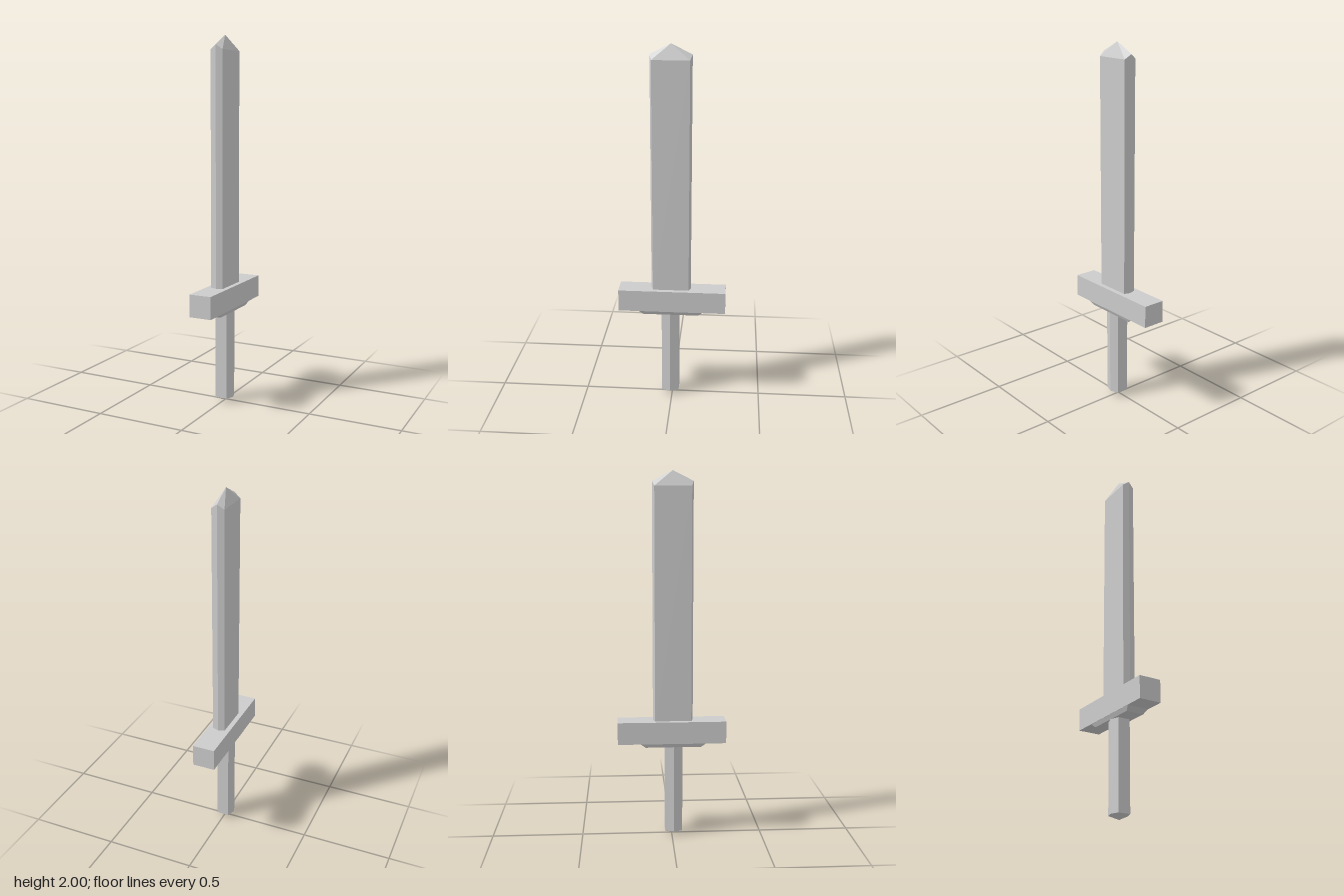
import * as THREE from 'three';

const material = new THREE.MeshStandardMaterial({ color: 0xcccccc, flatShading: true });

// Skin a stack of rings (points [x, y, z], same count, bottom to top,
// each running from +z towards +x); a one-point ring closes to a tip.
function loft(name, rings) {
  const n = Math.max(...rings.map((r) => r.length));
  const pos = [];
  const tri = (a, b, c) => pos.push(...a, ...b, ...c);
  for (let k = 0; k < rings.length - 1; k++) {
    const lo = rings[k], hi = rings[k + 1];
    for (let i = 0; i < n; i++) {
      const j = (i + 1) % n;
      if (lo.length > 1) tri(lo[i], lo[j], hi[j % hi.length]);
      if (hi.length > 1) tri(lo[i % lo.length], hi[j], hi[i]);
    }
  }
  // flat end caps
  const first = rings[0], last = rings[rings.length - 1];
  for (let i = 1; i < first.length - 1; i++) tri(first[0], first[i + 1], first[i]);
  for (let i = 1; i < last.length - 1; i++) tri(last[0], last[i], last[i + 1]);
  const geometry = new THREE.BufferGeometry();
  geometry.setAttribute('position', new THREE.Float32BufferAttribute(pos, 3));
  geometry.computeVertexNormals();
  const mesh = new THREE.Mesh(geometry, material);
  mesh.name = name;
  return mesh;
}

export function createModel() {
  const model = new THREE.Group();
  model.name = 'sword';
  const cz = 0.007; // blade and grip sit slightly forward of the guard's centre

  // Blade: flat hexagonal section with a ridge on each narrow edge and a pointed tip
  const bladeRing = (ridgeY, sideY) => [
    [0, ridgeY, cz + 0.11], [0.035, sideY, cz + 0.099], [0.035, sideY, cz - 0.099],
    [0, ridgeY, cz - 0.11], [-0.035, sideY, cz - 0.099], [-0.035, sideY, cz + 0.099],
  ];
  model.add(loft('blade', [bladeRing(0.64, 0.64), bladeRing(1.945, 1.92), [[0, 2, cz]]]));

  // Crossguard
  const guard = new THREE.Mesh(new THREE.BoxGeometry(0.124, 0.122, 0.594), material);
  guard.name = 'crossguard';
  guard.position.y = 0.596;
  model.add(guard);

  // Tapered collar under the guard
  const collarRing = (y, x, z) => [
    [-x, y, cz + z], [x, y, cz + z], [x, y, cz - z], [-x, y, cz - z],
  ];
  model.add(loft('collar', [collarRing(0.513, 0.05, 0.152), collarRing(0.536, 0.061, 0.18)]));

  // Hexagonal grip with a shallow pointed pommel
  const gz = 0.01;
  const gripRing = (y) => [
    [-0.034, y, gz + 0.048], [0.034, y, gz + 0.048], [0.052, y, gz],
    [0.034, y, gz - 0.048], [-0.034, y, gz - 0.048], [-0.052, y, gz],
  ];
  model.add(loft('grip', [[[0, 0, gz]], gripRing(0.024), gripRing(0.52)]));

  return model;
}
